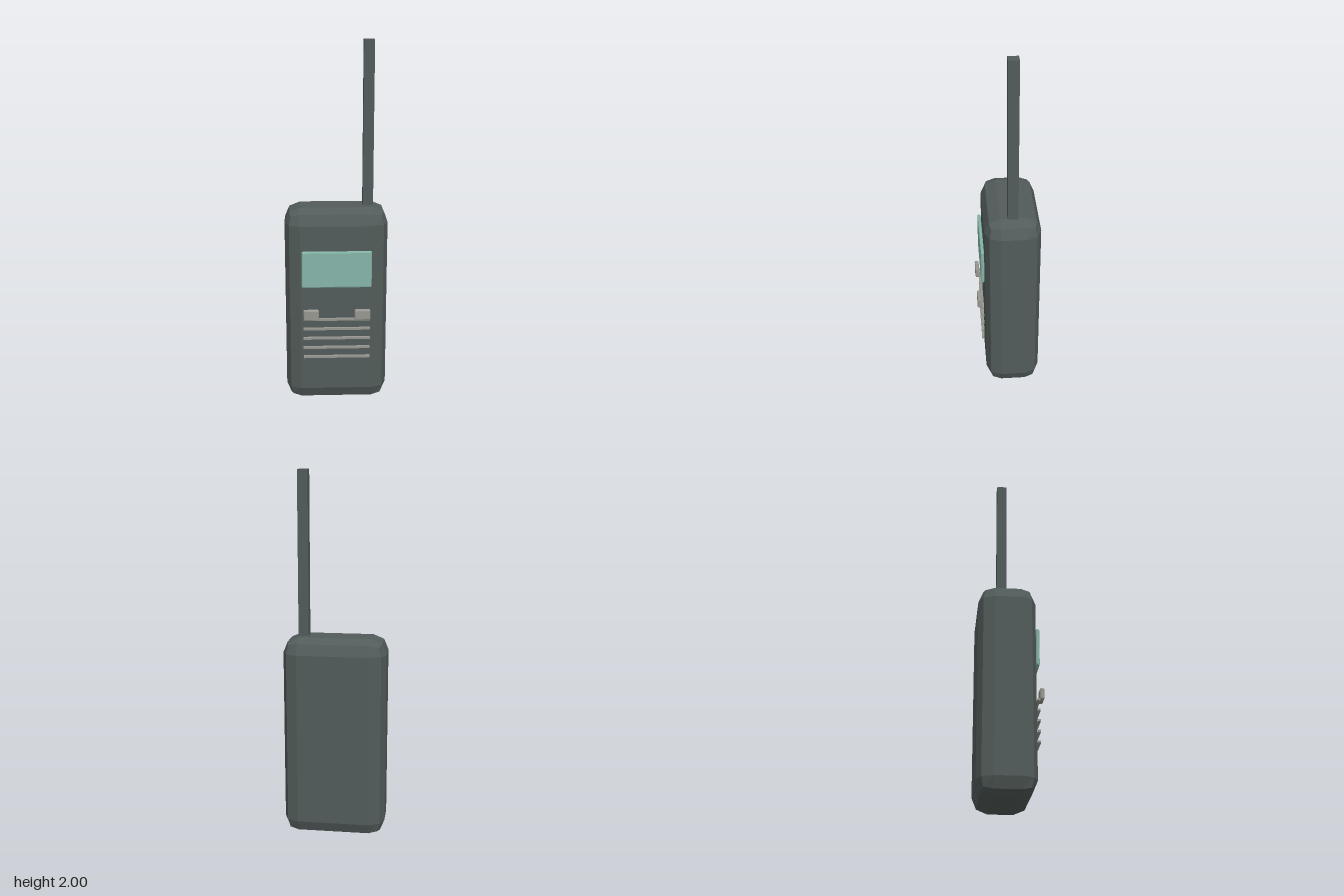
import * as THREE from 'three';
import { RoundedBoxGeometry } from 'three/addons/geometries/RoundedBoxGeometry.js';

function material(name, color) {
  const m = new THREE.MeshStandardMaterial({ color });
  m.name = name;
  return m;
}

export function createModel() {
  const casing = material('dark grey casing', 0x525c5a);
  const glass = material('pale green screen', 0x86b5a9);
  const keys = material('warm grey keys', 0x989790);
  const group = new THREE.Group();
  group.name = 'handheldRadio';

  // Box between two corners; a radius gives it faceted, bevelled edges
  function block(name, mat, [x0, y0, z0], [x1, y1, z1], radius = 0) {
    const size = [x1 - x0, y1 - y0, z1 - z0];
    const geometry = radius
      ? new RoundedBoxGeometry(...size, 1, radius)
      : new THREE.BoxGeometry(...size);
    geometry.computeVertexNormals(); // flat facets
    const mesh = new THREE.Mesh(geometry, mat);
    mesh.name = name;
    mesh.position.set((x0 + x1) / 2, (y0 + y1) / 2, (z0 + z1) / 2);
    group.add(mesh);
  }

  block('body', casing, [-0.28, 0, -0.174], [0.28, 1.115, 0.128], 0.083);
  block('antenna', casing, [0.147, 1.09, -0.052], [0.203, 2, 0.004]);
  block('screen', glass, [-0.19, 0.69, 0.13], [0.19, 0.896, 0.149], 0.008);

  // Button on each side
  for (const side of [-1, 1]) {
    const x = side * 0.14;
    block(side > 0 ? 'leftButton' : 'rightButton', keys,
      [x - 0.043, 0.507, 0.148], [x + 0.043, 0.569, 0.171], 0.008);
  }

  // Speaker grille bars
  for (let i = 0; i < 5; i++) {
    const y = 0.283 + i * 0.0555;
    block(`speakerBar${i + 1}`, keys, [-0.183, y - 0.006, 0.135], [0.183, y + 0.006, 0.149]);
  }
  return group;
}
